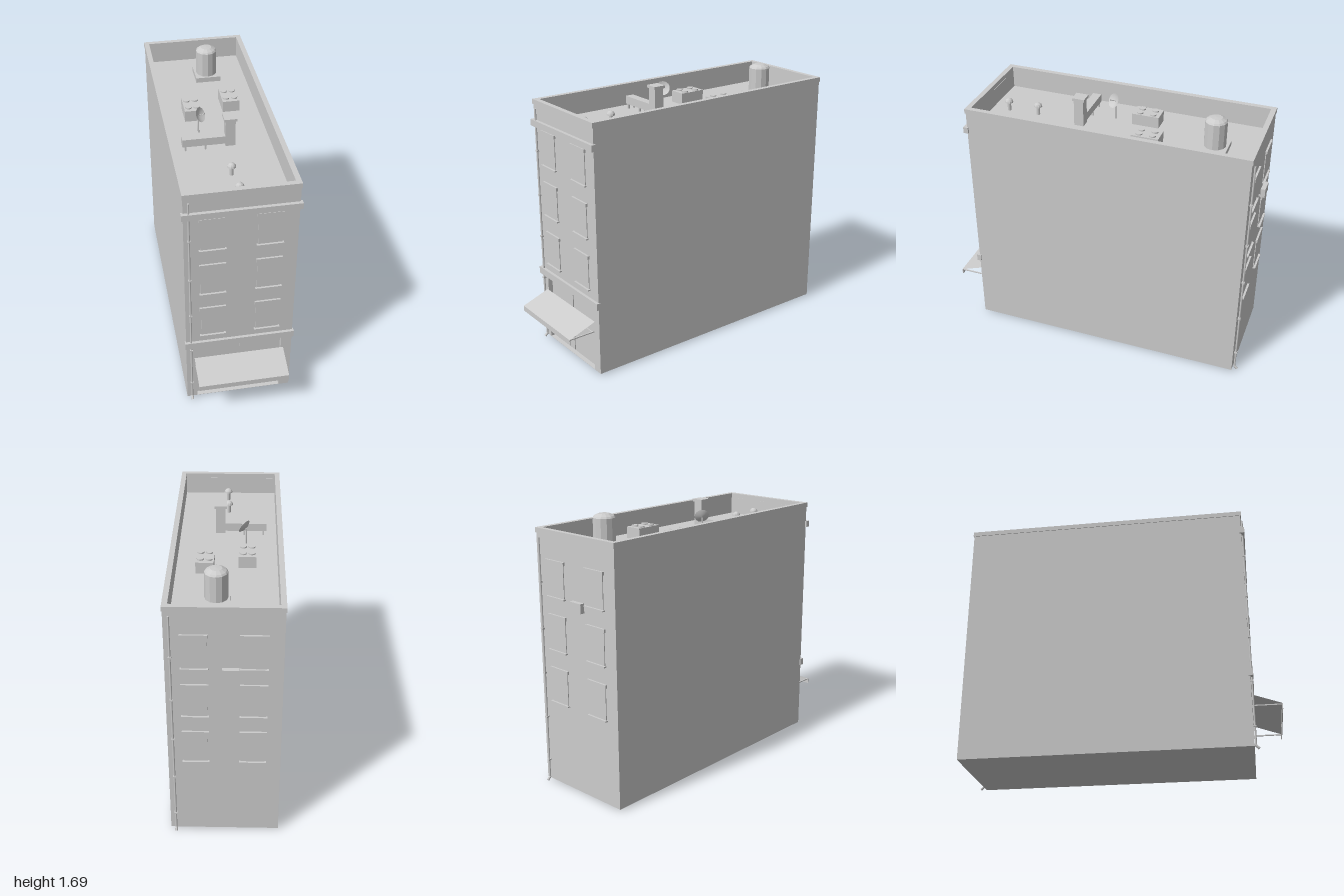
import * as THREE from 'three';

export function createModel() {
  const model = new THREE.Group();
  const plaster = new THREE.MeshStandardMaterial({ color: 0xcccccc, side: THREE.DoubleSide });
  plaster.name = 'light grey';

  const add = (name, geometry, x = 0, y = 0, z = 0, parent = model) => {
    const mesh = new THREE.Mesh(geometry, plaster);
    mesh.name = name;
    mesh.position.set(x, y, z);
    parent.add(mesh);
    return mesh;
  };
  // Box given by its limits on each axis
  const box = (name, x0, x1, y0, y1, z0, z1, parent) => add(name,
    new THREE.BoxGeometry(x1 - x0, y1 - y0, z1 - z0),
    (x0 + x1) / 2, (y0 + y1) / 2, (z0 + z1) / 2, parent);
  const flat = (g) => {
    const n = g.toNonIndexed();
    n.computeVertexNormals();
    return n;
  };
  const group = (name) => {
    const g = new THREE.Group();
    g.name = name;
    model.add(g);
    return g;
  };
  const rect = (T, x0, x1, y0, y1) => {
    const s = new T();
    s.moveTo(x0, y0);
    s.lineTo(x1, y0);
    s.lineTo(x1, y1);
    s.lineTo(x0, y1);
    s.closePath();
    return s;
  };
  // Horizontal rectangular ring, extruded upwards
  const ring = (name, x, z0, z1, t, y0, y1) => {
    const s = rect(THREE.Shape, -x, x, -z1, -z0);
    s.holes.push(rect(THREE.Path, -x + t, x - t, -z1 + t, -z0 - t));
    const g = new THREE.ExtrudeGeometry(s, { depth: y1 - y0, bevelEnabled: false });
    g.rotateX(-Math.PI / 2);
    return add(name, g, 0, y0, 0);
  };

  // Main block, front wall with shop opening, parapet and coping
  box('mainBlock', -0.33, 0.33, 0.01, 1.47, -0.96, 0.79);
  const wall = rect(THREE.Shape, -0.33, 0.33, 0.01, 1.47);
  wall.holes.push(rect(THREE.Path, -0.265, 0.265, 0.012, 0.445));
  add('frontWall', new THREE.ExtrudeGeometry(wall, { depth: 0.03, bevelEnabled: false }), 0, 0, 0.79);
  ring('parapet', 0.33, -0.96, 0.82, 0.027, 1.47, 1.58);
  ring('coping', 0.334, -0.965, 0.826, 0.032, 1.58, 1.61);
  box('upperCornice', -0.342, 0.342, 1.445, 1.485, 0.81, 0.841);
  box('lowerCornice', -0.338, 0.338, 0.452, 0.497, 0.81, 0.838);

  // Shop front panels
  const shop = group('shopFront');
  for (const s of [-1, 1]) {
    const x = s * 0.125;
    box('shopPanel', x - 0.12, x + 0.12, 0.02, 0.24, 0.785, 0.797, shop);
    box('shopWindow', x - 0.12, x + 0.12, 0.26, 0.43, 0.785, 0.797, shop);
  }

  // Awning: sloped sheet, valance and side arms
  const awning = group('awning');
  const sheet = new THREE.PlaneGeometry(0.56, Math.hypot(0.18, 0.065));
  add('awningSheet', sheet, 0, 0.3175, 0.91, awning).rotation.x = -Math.atan2(0.18, 0.065);
  box('valance', -0.28, 0.28, 0.25, 0.285, 0.995, 1.0, awning);
  for (const s of [-1, 1]) {
    box('awningArm', s * 0.272 - 0.004, s * 0.272 + 0.004, 0.277, 0.284, 0.82, 0.997, awning);
  }

  // Windows: three rows of two on the front and the back
  for (const face of [1, -1]) {
    const windows = group(face > 0 ? 'frontWindows' : 'backWindows');
    const wallZ = face > 0 ? 0.82 : -0.96;
    for (const sill of [0.55, 0.883, 1.213]) {
      for (const s of [-1, 1]) {
        const x = s * 0.166;
        const bar = (name, half, y0, y1, out) => box(name, x - half, x + half, y0, y1,
          Math.min(wallZ, wallZ + face * out), Math.max(wallZ, wallZ + face * out), windows);
        bar('windowPane', 0.07, sill, sill + 0.2, 0.005);
        bar('windowHood', 0.079, sill + 0.202, sill + 0.223, 0.012);
        bar('windowSill', 0.079, sill - 0.005, sill + 0.003, 0.018);
      }
    }
  }

  // Drainpipes with brackets and a foot
  for (const [x, z, d] of [[-0.3, 0.828, 1], [0.297, -0.972, -1]]) {
    const pipe = group('drainpipe');
    add('pipe', new THREE.CylinderGeometry(0.006, 0.006, 1.535, 8), x, 0.787, z, pipe);
    for (const y of [0.14, 0.43, 0.72, 1.0, 1.29]) {
      box('pipeBracket', x - 0.009, x + 0.009, y - 0.005, y + 0.005, z - 0.009, z + 0.009, pipe);
    }
    const foot = new THREE.CylinderGeometry(0.008, 0.008, 0.028, 8);
    add('pipeFoot', foot, x, 0.014, z + d * 0.008, pipe).rotation.x = -d * 0.8;
  }

  // Wall-hung cooler on the back
  const cooler = group('backCooler');
  box('coolerCase', -0.085, 0.01, 1.17, 1.228, -1.0, -0.972, cooler);
  for (const x of [-0.07, -0.012]) {
    box('coolerBracket', x, x + 0.008, 1.165, 1.175, -0.99, -0.96, cooler);
  }

  // Water tank on a square plinth
  box('tankPlinth', -0.03, 0.132, 1.47, 1.503, -0.76, -0.598);
  const tankProfile = [[0, 1.5], [0.068, 1.5], [0.068, 1.665], [0.06, 1.675], [0.035, 1.688], [0, 1.69]];
  add('waterTank', flat(new THREE.LatheGeometry(
    tankProfile.map(([r, y]) => new THREE.Vector2(r, y)), 12)), 0.05, 0, -0.678);

  // Rooftop coolers, each with a row of fans
  for (const [x, z] of [[-0.122, -0.205], [0.13, -0.28]]) {
    const unit = group('roofCooler');
    box('coolerBody', x - 0.054, x + 0.054, 1.475, 1.548, z - 0.086, z + 0.086, unit);
    for (const fx of [-0.026, 0.026]) {
      for (const fz of [-0.042, 0.042]) {
        add('fanRing', new THREE.CylinderGeometry(0.021, 0.021, 0.008, 12), x + fx, 1.552, z + fz, unit);
      }
    }
  }

  // Exhaust duct and chimney
  const duct = group('exhaust');
  box('duct', -0.24, 0.03, 1.5, 1.55, 0.147, 0.203, duct);
  box('chimney', 0.02, 0.08, 1.485, 1.66, 0.147, 0.208, duct);
  box('chimneyCap', 0.011, 0.089, 1.655, 1.672, 0.137, 0.216, duct);
  for (const x of [-0.22, -0.1]) {
    for (const z of [0.155, 0.195]) {
      box('ductLeg', x - 0.005, x + 0.005, 1.47, 1.5, z - 0.005, z + 0.005, duct);
    }
  }

  // Mushroom vents
  for (const [x, z] of [[0.004, 0.483], [0.012, 0.68]]) {
    const vent = group('roofVent');
    add('ventStem', new THREE.CylinderGeometry(0.012, 0.012, 0.06, 8), x, 1.5, z, vent);
    const cap = new THREE.SphereGeometry(0.027, 10, 4, 0, Math.PI * 2, 0, Math.PI / 2);
    add('ventCap', flat(cap), x, 1.525, z, vent);
    add('ventCapBase', new THREE.CircleGeometry(0.027, 10), x, 1.525, z, vent).rotation.x = Math.PI / 2;
  }

  // Satellite dish on a post
  const dish = group('satelliteDish');
  add('dishPost', new THREE.CylinderGeometry(0.005, 0.005, 0.12, 6), -0.112, 1.53, 0.005, dish);
  const bowl = new THREE.LatheGeometry(
    [[0, 0], [0.025, 0.004], [0.046, 0.015]].map(([r, y]) => new THREE.Vector2(r, y)), 14);
  const head = new THREE.Group();
  head.name = 'dishHead';
  head.position.set(-0.11, 1.592, 0.006);
  head.quaternion.setFromUnitVectors(new THREE.Vector3(0, 1, 0),
    new THREE.Vector3(0.72, 0.45, 0.54).normalize());
  dish.add(head);
  add('dishBowl', bowl, 0, 0, 0, head);
  add('dishArm', new THREE.CylinderGeometry(0.002, 0.002, 0.04, 6), 0, 0.02, 0, head);
  add('dishReceiver', new THREE.CylinderGeometry(0.005, 0.005, 0.008, 6), 0, 0.042, 0, head);

  return model;
}
